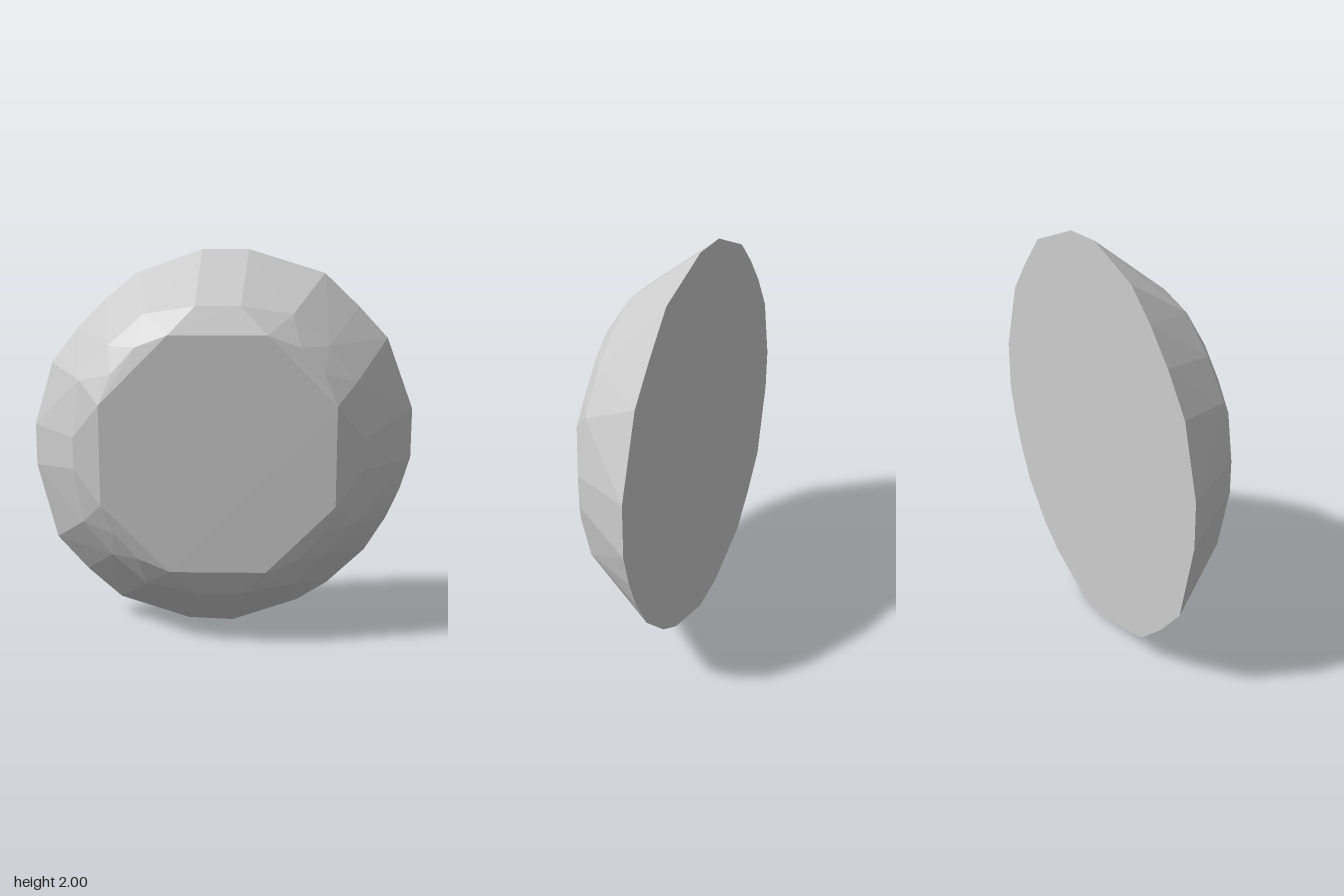
import * as THREE from 'three';
import { ConvexGeometry } from 'three/addons/geometries/ConvexGeometry.js';

// Irregular outline of the flat back, as x, y pairs
const RIM = [
  [-0.11, 2], [0.13, 2], [0.52, 1.88], [0.7, 1.71], [0.85, 1.55], [0.99, 1.18],
  [0.99, 0.92], [0.94, 0.75], [0.87, 0.59], [0.76, 0.41], [0.56, 0.22], [0.4, 0.12],
  [0.05, 0], [-0.19, 0.01], [-0.56, 0.13], [-0.74, 0.29], [-0.9, 0.47], [-1, 0.87],
  [-1, 1.09], [-0.9, 1.42], [-0.76, 1.6], [-0.61, 1.75], [-0.45, 1.88],
];

// Right upper quarter of the front: offsets from the centre, and depth
const SHOULDER = [
  [0.11, 0.725, 0.147], [0.365, 0.685, 0.11], [0.54, 0.53, 0.115],
  [0.685, 0.36, 0.11], [0.72, 0.08, 0.142],
];
const FACE = [[0.24, 0.59, 0.213], [0.4, 0.53, 0.19], [0.52, 0.4, 0.19], [0.58, 0.25, 0.213]];
const CENTRE = [-0.02, 1.005];

// Repeats a quarter section in all four quadrants
function mirrorQuarter(section) {
  const points = [];
  for (const sx of [1, -1]) {
    for (const sy of [1, -1]) {
      for (const [x, y, z] of section) {
        points.push(new THREE.Vector3(CENTRE[0] + sx * x, CENTRE[1] + sy * y, z));
      }
    }
  }
  return points;
}

export function createModel() {
  const group = new THREE.Group();
  group.name = 'facetedDome';
  const stone = new THREE.MeshStandardMaterial({ color: 0xcccccc });
  stone.name = 'lightGrey';

  // Flat back, sloping sides, bevelled shoulder and flat front, all faceted
  const points = [
    ...RIM.map(([x, y]) => new THREE.Vector3(x, y, -0.215)),
    ...mirrorQuarter(SHOULDER),
    ...mirrorQuarter(FACE),
  ];
  const body = new THREE.Mesh(new ConvexGeometry(points), stone);
  body.name = 'body';
  group.add(body);
  return group;
}
